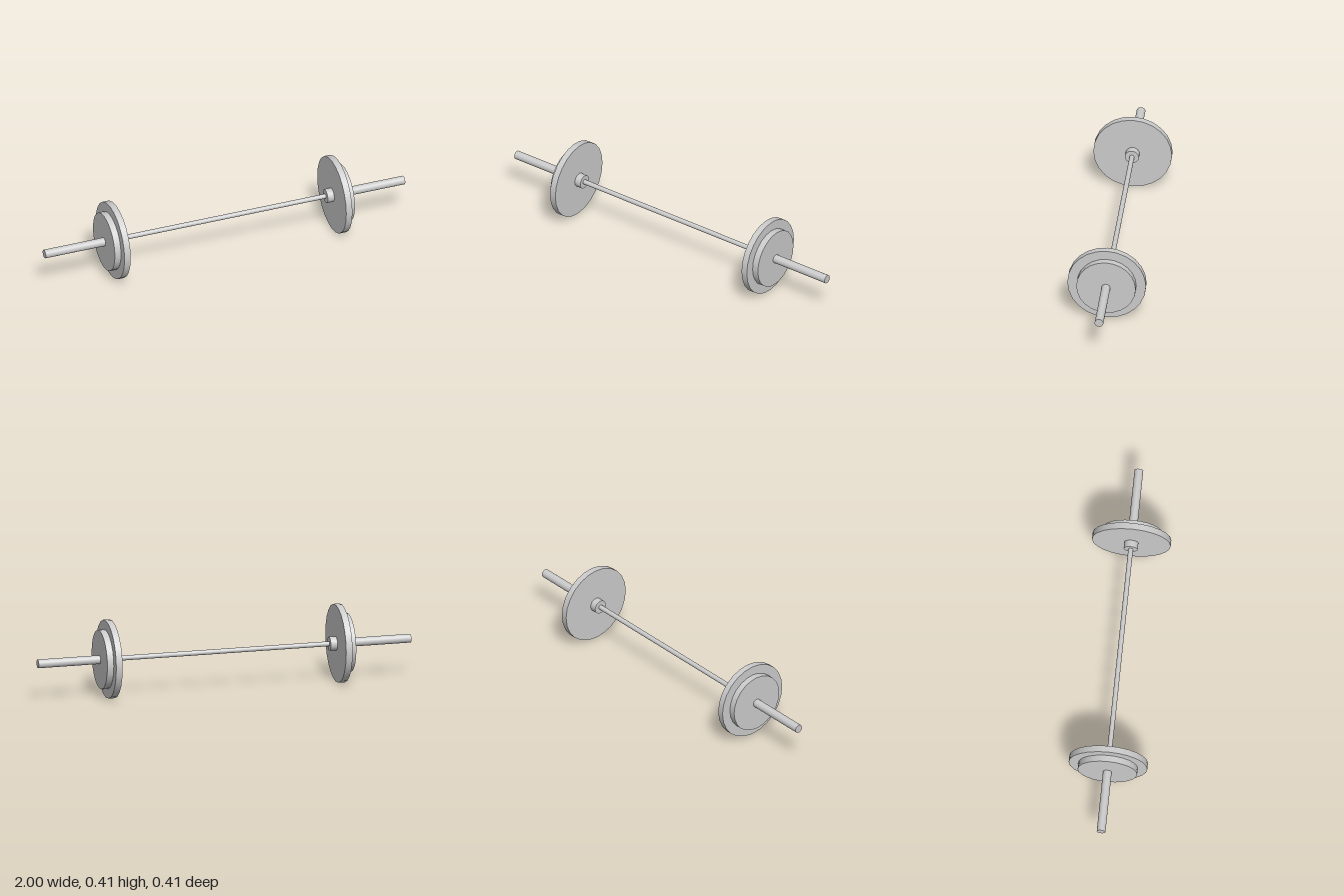
import * as THREE from 'three';

export function createModel() {
  const model = new THREE.Group();
  model.name = 'barbell';
  const steel = new THREE.MeshStandardMaterial({ color: 0xcccccc });
  steel.name = 'light grey steel';

  const axisY = 0.205; // height of the bar axis

  // Cylinder lying along x, from x0 to x1
  function rod(name, radius, x0, x1, sides) {
    const geometry = new THREE.CylinderGeometry(radius, radius, Math.abs(x1 - x0), sides);
    geometry.rotateZ(-Math.PI / 2);
    const mesh = new THREE.Mesh(geometry, steel);
    mesh.name = name;
    mesh.position.set((x0 + x1) / 2, axisY, 0);
    model.add(mesh);
  }

  // Thin grip between the two collars
  rod('grip', 0.0127, -0.58, 0.58, 24);

  // Collar, plates and sleeve on each end
  for (const [side, s] of [['left', 1], ['right', -1]]) {
    rod(side + 'Collar', 0.0364, s * 0.564, s * 0.6, 24);
    rod(side + 'LargePlate', 0.2045, s * 0.6, s * 0.634, 24);
    rod(side + 'SmallPlate', 0.1545, s * 0.634, s * 0.668, 24);
    rod(side + 'Sleeve', 0.0227, s * 0.61, s * 1, 24);
  }
  return model;
}
